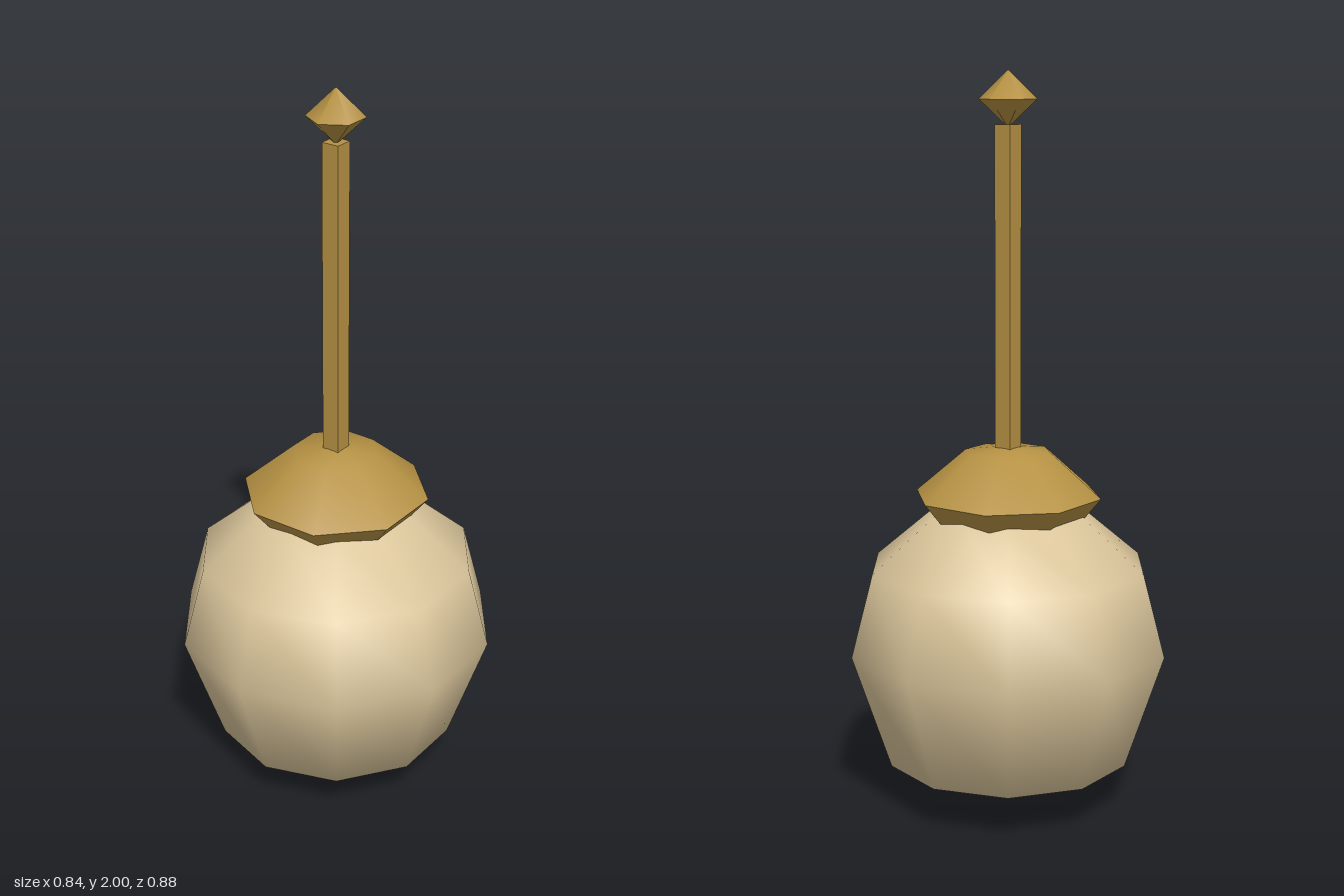
import * as THREE from 'three';
import { mergeGeometries } from 'three/addons/utils/BufferGeometryUtils.js';

const tan = new THREE.MeshStandardMaterial({ name: 'tan', color: 0xdcc79c });
const gold = new THREE.MeshStandardMaterial({ name: 'gold', color: 0xb59143 });

// Turned part; each profile runs bottom to top, and edges between profiles stay sharp
function turned(name, material, sides, start, ...profiles) {
  const pieces = profiles.map((profile) =>
    new THREE.LatheGeometry(profile.map(([r, y]) => new THREE.Vector2(r, y)), sides, start));
  const mesh = new THREE.Mesh(mergeGeometries(pieces), material);
  mesh.name = name;
  return mesh;
}

export function createModel() {
  const group = new THREE.Group();
  group.name = 'model';

  // Ten-sided rounded body
  group.add(turned('body', tan, 10, 0,
    [[0, 0], [0.335, 0.13], [0.442, 0.45], [0.382, 0.675], [0.2, 0.83], [0, 0.86]]));

  // Octagonal collar: undercut rim below, dome above
  group.add(turned('collar', gold, 8, Math.PI / 8,
    [[0.2, 0.8], [0.257, 0.87]],
    [[0.257, 0.87], [0.118, 0.99], [0, 1.005]]));

  // Square handle
  const handle = new THREE.Mesh(new THREE.BoxGeometry(0.05, 0.91, 0.05), gold);
  handle.name = 'handle';
  handle.position.y = 1.405;
  group.add(handle);

  // Six-sided pointed finial
  group.add(turned('finial', gold, 6, 0,
    [[0, 1.852], [0.077, 1.925]],
    [[0.077, 1.925], [0, 2]]));

  return group;
}
